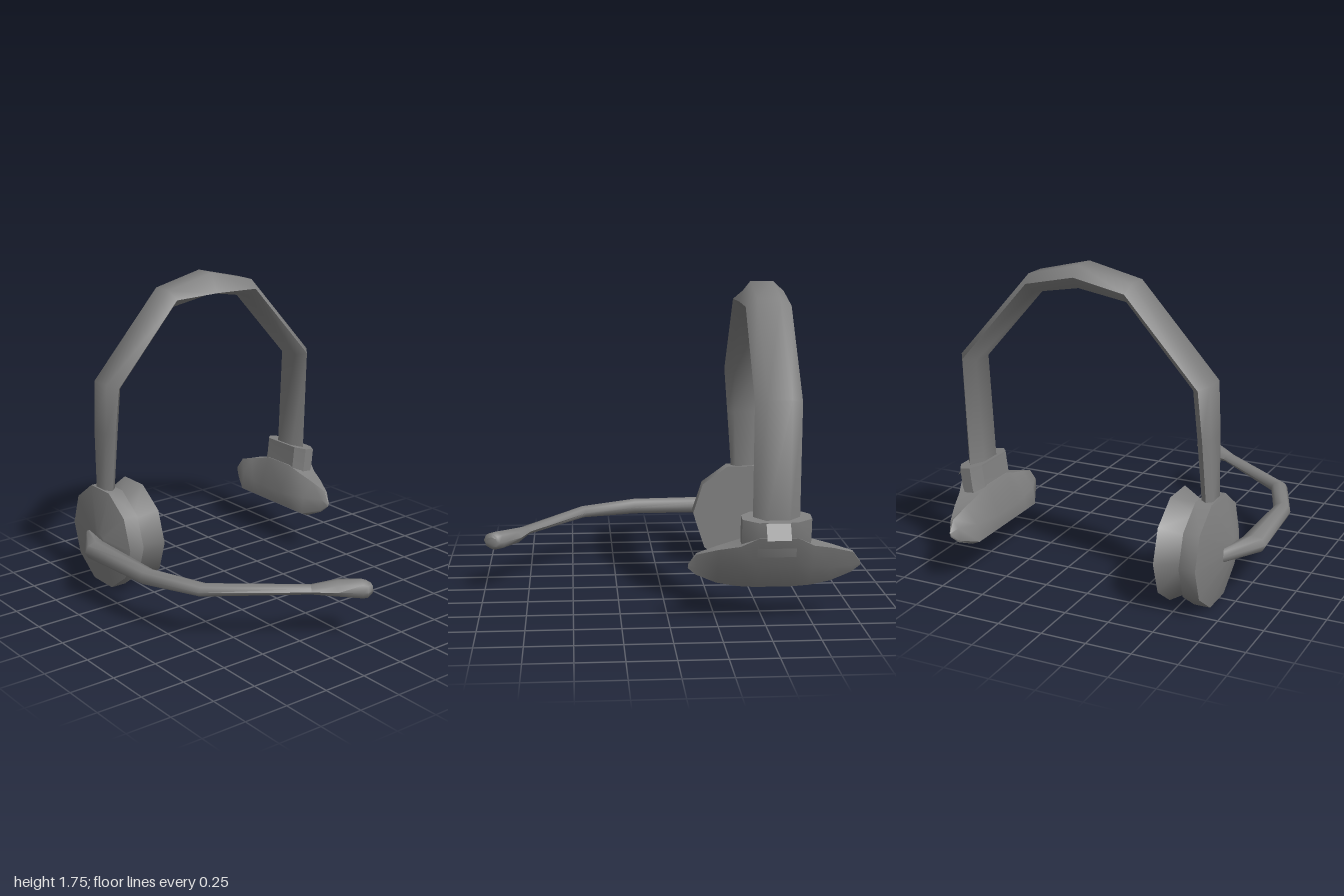
import * as THREE from 'three';
import { toCreasedNormals } from 'three/addons/utils/BufferGeometryUtils.js';

const CX = -0.547; // centre line of the headband and ear cup
const material = new THREE.MeshStandardMaterial({ color: 0x808080, side: THREE.DoubleSide });

// Skin a list of rings (arrays of [x, y, z]) and cap both ends
function loft(name, rings, crease) {
  const n = rings[0].length;
  const pos = rings.flat(2);
  const tris = [];
  for (let i = 0; i < rings.length - 1; i++) {
    for (let j = 0; j < n; j++) {
      const a = i * n + j, b = i * n + (j + 1) % n;
      tris.push([a, b, b + n], [a, b + n, a + n]);
    }
  }
  const last = (rings.length - 1) * n;
  for (let j = 1; j < n - 1; j++) {
    tris.push([0, j + 1, j], [last, last + j, last + j + 1]);
  }
  // Turn the faces outwards if the signed volume is negative
  const point = (i) => new THREE.Vector3().fromArray(pos, i * 3);
  let volume = 0;
  for (const [a, b, c] of tris) volume += point(a).dot(point(b).cross(point(c)));
  if (volume < 0) tris.forEach((t) => t.reverse());

  const geometry = new THREE.BufferGeometry();
  geometry.setAttribute('position', new THREE.Float32BufferAttribute(pos, 3));
  geometry.setIndex(tris.flat());
  const mesh = new THREE.Mesh(toCreasedNormals(geometry, crease), material);
  mesh.name = name;
  return mesh;
}

// Ten-sided ring facing z, flat at top and bottom
function decagon(r, z, x = CX + 0.005, y = 0.295) {
  return Array.from({ length: 10 }, (_, i) => {
    const a = (i / 10) * Math.PI * 2;
    return [x + r * Math.cos(a), y + r * Math.sin(a), z];
  });
}

function createHeadband() {
  // outer z, outer y, inner z, inner y, half width, half flat width, ridge depth on the left side
  const stations = [
    [0.65, 0.54, 0.59, 0.54, 0.07, 0.045, 0.5],
    [0.642, 0.92, 0.565, 0.92, 0.1, 0.062, 0.5],
    [0.63, 1.20, 0.54, 1.17, 0.122, 0.063, 0.5],
    [0.20, 1.68, 0.17, 1.585, 0.122, 0.063, 0.5],
    [-0.10, 1.75, -0.10, 1.63, 0.122, 0.063, 0.92],
    [-0.39, 1.68, -0.36, 1.585, 0.122, 0.063, 0.5],
    [-0.82, 1.20, -0.73, 1.17, 0.122, 0.063, 0.5],
    [-0.80, 0.54, -0.70, 0.54, 0.122, 0.063, 0.5],
  ];
  return loft('headband', stations.map(([oz, oy, iz, iy, w, f, ridge]) => {
    const section = [[f, 0], [w, ridge], [f, 1], [-f, 1], [-w, 0.45], [-f, 0]];
    return section.map(([x, t]) => [CX + x, oy + (iy - oy) * t, oz + (iz - oz) * t]);
  }), 1.2);
}

function createEarCup() {
  const group = new THREE.Group();
  group.name = 'earCup';
  group.add(
    // Housing with a shallow, slightly off-centre front
    loft('cupHousing', [decagon(0.302, 0.57), decagon(0.302, 0.66), decagon(0.05, 0.725, -0.46, 0.30)], 0.75),
    loft('earCushion', [decagon(0.225, 0.572), decagon(0.306, 0.43)], 0.75),
  );
  return group;
}

function createTemplePad() {
  const group = new THREE.Group();
  group.name = 'templePad';
  // Wing sections as [z, y] outlines, from the centre to the tip
  const wing = [
    [0.10, [[-0.66, 0.48], [-0.595, 0.31], [-0.60, 0.23], [-0.67, 0.19], [-0.765, 0.33], [-0.825, 0.49]]],
    [0.19, [[-0.67, 0.45], [-0.60, 0.32], [-0.60, 0.23], [-0.665, 0.195], [-0.75, 0.32], [-0.79, 0.44]]],
    [0.30, [[-0.68, 0.42], [-0.61, 0.33], [-0.60, 0.23], [-0.645, 0.21], [-0.705, 0.30], [-0.75, 0.415]]],
    [0.41, [[-0.69, 0.385], [-0.66, 0.34], [-0.655, 0.27], [-0.66, 0.26], [-0.68, 0.30], [-0.705, 0.38]]],
    [0.453, [[-0.685, 0.325], [-0.68, 0.32], [-0.677, 0.305], [-0.68, 0.302], [-0.683, 0.31], [-0.687, 0.322]]],
  ];
  const ring = (side) => ([dx, outline]) => outline.map(([z, y]) => [CX - 0.003 + side * dx, y, z]);
  const rings = [...wing].reverse().map(ring(-1)).concat(wing.map(ring(1)));
  group.add(loft('padBody', rings, 0.8));

  // Socket that holds the end of the band
  const plan = [[0.125, 0], [0.18, 0.3], [0.18, 0.7], [0.1, 1],
    [-0.1, 1], [-0.18, 0.7], [-0.18, 0.3], [-0.125, 0]];
  const socketRing = (frontZ, frontY, backZ, backY) =>
    plan.map(([x, t]) => [CX + x, frontY + (backY - frontY) * t, frontZ + (backZ - frontZ) * t]);
  group.add(loft('bandSocket', [
    socketRing(-0.68, 0.60, -0.83, 0.573),
    socketRing(-0.665, 0.48, -0.82, 0.48),
    socketRing(-0.65, 0.40, -0.785, 0.38),
  ], 0.6));

  // Thin flap sloping out from the back of the socket
  const flap = new THREE.Mesh(new THREE.PlaneGeometry(0.125, 0.093), material);
  flap.name = 'socketFlap';
  flap.rotation.x = -2.61;
  flap.position.set(CX, 0.53, -0.853);
  group.add(flap);
  return group;
}

// Eight-sided boom: each station has inner x, z, outer x, z and half height
function boomPart(name, stations) {
  return loft(name, stations.map(([ix, iz, ox, oz, h]) =>
    Array.from({ length: 8 }, (_, i) => {
      const a = (i / 8) * Math.PI * 2;
      const t = (1 + Math.cos(a)) / 2;
      return [ix + (ox - ix) * t, 0.295 + h * Math.sin(a), iz + (oz - iz) * t];
    })), 1.1);
}

function createMicrophone() {
  const group = new THREE.Group();
  group.name = 'microphone';
  group.add(
    boomPart('boom', [
      [-0.56, 0.705, -0.615, 0.72, 0.038],
      [-0.40, 0.722, -0.38, 0.868, 0.05],
      [0.11, 0.73, 0.115, 0.828, 0.047],
      [0.415, 0.605, 0.455, 0.69, 0.036],
      [0.74, 0.175, 0.81, 0.225, 0.023],
    ]),
    boomPart('microphoneTip', [
      [0.74, 0.175, 0.81, 0.225, 0.023],
      [0.79, 0.035, 0.90, 0.115, 0.042],
      [0.875, -0.055, 0.985, 0.018, 0.052],
      [0.905, -0.075, 1.0, 0.0, 0.045],
      [0.92, -0.073, 0.985, -0.05, 0.03],
    ]),
  );
  return group;
}

export function createModel() {
  const model = new THREE.Group();
  model.name = 'headset';
  model.add(createHeadband(), createEarCup(), createTemplePad(), createMicrophone());
  return model;
}
